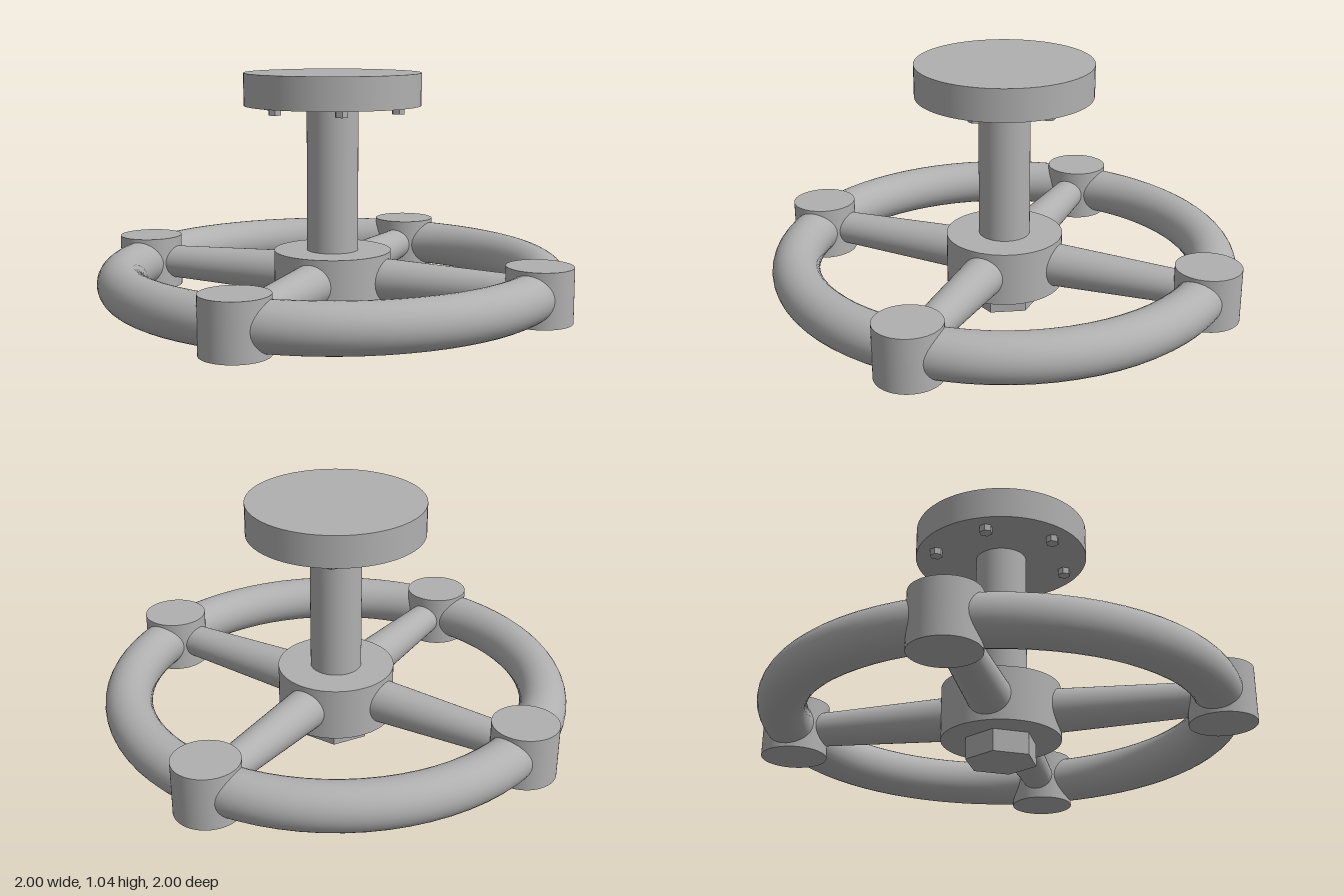
import * as THREE from 'three';

export function createModel() {
  const model = new THREE.Group();
  model.name = 'handwheel';
  const steel = new THREE.MeshStandardMaterial({ color: 0xb0b0b0 });
  steel.name = 'grey steel';

  const add = (name, geometry, x = 0, y = 0, z = 0, parent = model) => {
    const mesh = new THREE.Mesh(geometry, steel);
    mesh.name = name;
    mesh.position.set(x, y, z);
    parent.add(mesh);
    return mesh;
  };
  // upright cylinder between two heights
  const post = (name, r, y0, y1, x = 0, z = 0, parent = model) =>
    add(name, new THREE.CylinderGeometry(r, r, y1 - y0, 64), x, (y0 + y1) / 2, z, parent);
  // flat-sided hexagonal prism with corners on the x axis
  const hex = (name, r, y0, y1, x = 0, z = 0) => {
    const g = new THREE.CylinderGeometry(r, r, y1 - y0, 6, 1, false, Math.PI / 6).toNonIndexed();
    g.computeVertexNormals();
    return add(name, g, x, (y0 + y1) / 2, z);
  };

  // central column
  hex('hubNut', 0.146, 0, 0.09);
  post('hub', 0.24, 0.09, 0.31);
  post('shaft', 0.105, 0.3, 0.91);
  post('flange', 0.36, 0.904, 1.036);

  // bolt heads under the flange
  for (let i = 0; i < 6; i++) {
    const a = (i * Math.PI) / 3;
    hex('flangeBolt', 0.027, 0.876, 0.906, 0.283 * Math.cos(a), 0.283 * Math.sin(a));
  }

  // rim
  const rim = new THREE.TorusGeometry(0.862, 0.096, 32, 72);
  rim.rotateX(Math.PI / 2);
  add('rim', rim, 0, 0.2, 0);

  // four tapered spokes, each ending in a boss on the rim
  for (let i = 0; i < 4; i++) {
    const arm = new THREE.Group();
    arm.name = 'arm';
    arm.rotation.y = (i * Math.PI) / 2;
    model.add(arm);
    const spoke = new THREE.CylinderGeometry(0.064, 0.089, 0.67, 40);
    spoke.rotateZ(-Math.PI / 2);
    add('spoke', spoke, 0.535, 0.2, 0, arm);
    post('rimBoss', 0.132, 0.09, 0.31, 0.868, 0, arm);
  }
  return model;
}
